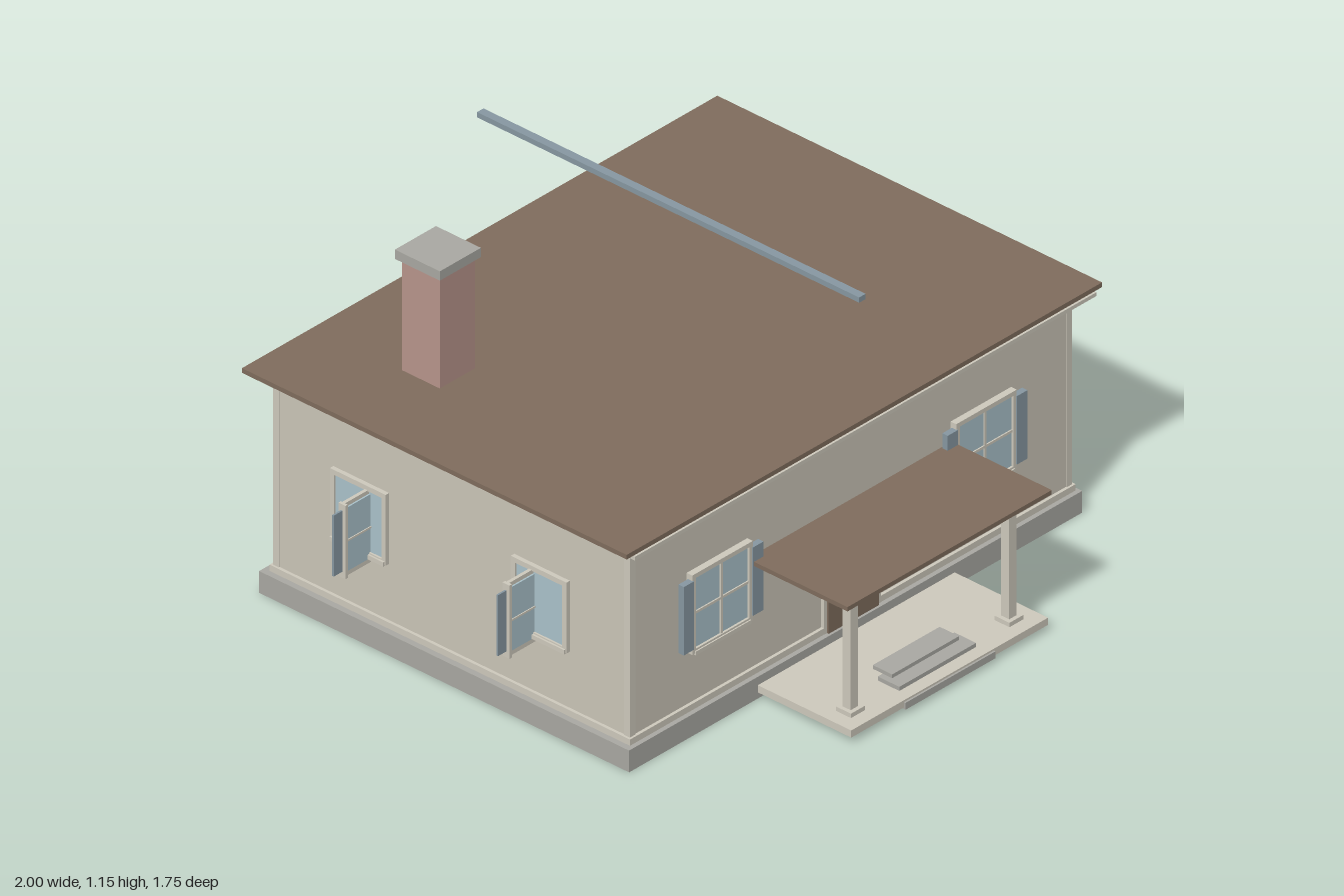
import * as THREE from 'three';

const mat = (name, color) => Object.assign(new THREE.MeshStandardMaterial({ color }), { name });

export function createModel() {
  const wall = mat('wall cream', 0xcbc6b8);
  const trim = mat('trim cream', 0xcfcabd);
  const brown = mat('roof brown', 0x806d5d);
  const stone = mat('stone grey', 0xaaa9a3);
  const brick = mat('chimney red', 0xb8958c);
  const blue = mat('shutter blue grey', 0x8798a2);
  const glass = mat('window glass', 0xabc3cb);

  const house = new THREE.Group();
  house.name = 'house';

  // box given by its limits on each axis
  function box(parent, name, material, x0, x1, y0, y1, z0, z1) {
    const m = new THREE.Mesh(new THREE.BoxGeometry(x1 - x0, y1 - y0, z1 - z0), material);
    m.position.set((x0 + x1) / 2, (y0 + y1) / 2, (z0 + z1) / 2);
    m.name = name;
    parent.add(m);
    return m;
  }
  function group(name, x, y, z, turn = 0) {
    const g = new THREE.Group();
    g.name = name;
    g.position.set(x, y, z);
    g.rotation.y = turn;
    house.add(g);
    return g;
  }
  // four bars around an opening, centred on the group origin
  function frame(g, w, h, t, z0, z1) {
    for (const s of [-1, 1]) {
      const x = s * (w - t) / 2, y = s * (h - t) / 2;
      box(g, 'frameSide', trim, x - t / 2, x + t / 2, -h / 2, h / 2, z0, z1);
      box(g, 'frameRail', trim, -w / 2 + t, w / 2 - t, y - t / 2, y + t / 2, z0, z1);
    }
  }

  // Body
  box(house, 'foundation', stone, -0.88, 0.95, 0, 0.07, -0.85, 0.525);
  box(house, 'walls', wall, -0.85, 0.93, 0.07, 0.705, -0.82, 0.5);
  box(house, 'baseTrim', trim, -0.86, 0.94, 0.07, 0.09, -0.83, 0.51);
  for (const x of [-0.842, 0.922]) for (const z of [-0.812, 0.492])
    box(house, 'cornerBoard', trim, x - 0.011, x + 0.011, 0.09, 0.7, z - 0.011, z + 0.011);

  // Roof, eaves and the raised ridge rail
  box(house, 'roof', brown, -0.92, 1.0, 0.715, 0.73, -0.877, 0.553);
  box(house, 'frieze', blue, -0.86, 0.94, 0.695, 0.715, -0.83, 0.508);
  box(house, 'frontEave', trim, -0.895, 0.97, 0.703, 0.715, 0.508, 0.56);
  box(house, 'ridgeRail', blue, 0.022, 0.048, 1.11, 1.127, -0.87, 0.55);

  // Chimney
  box(house, 'chimney', brick, -0.675, -0.533, 0.767, 1.125, -0.508, -0.367);
  box(house, 'chimneyCap', stone, -0.688, -0.522, 1.125, 1.155, -0.522, -0.355);

  // Shuttered windows; the side ones stand out from the left-hand wall like open casements
  function shutteredWindow(name, x, y, z, w, h) {
    const g = group(name, x, y, z);
    box(g, 'sash', trim, -w / 2 + 0.004, w / 2 - 0.004, -h / 2 + 0.004, h / 2 - 0.004, -0.006, 0.004);
    frame(g, w, h, 0.014, -0.008, 0.016);
    box(g, 'pane', glass, -w / 2 + 0.014, w / 2 - 0.014, -h / 2 + 0.014, h / 2 - 0.014, 0.004, 0.009);
    box(g, 'mullion', trim, -0.004, 0.004, -h / 2 + 0.014, h / 2 - 0.014, 0.009, 0.013);
    box(g, 'crossbar', trim, -w / 2 + 0.014, w / 2 - 0.014, -0.004, 0.004, 0.009, 0.013);
    box(g, 'sill', trim, -w / 2 + 0.01, w / 2 - 0.01, -h / 2 - 0.004, -h / 2 + 0.008, 0, 0.02);
    for (const s of [-1, 1]) {
      const c = s * (w / 2 + 0.018);
      box(g, 'shutter', blue, c - 0.021, c + 0.021, -h * 0.43, h * 0.43, 0, 0.02);
    }
  }
  shutteredWindow('frontWindowRight', -0.498, 0.385, 0.505, 0.244, 0.256);
  shutteredWindow('frontWindowLeft', 0.568, 0.385, 0.505, 0.244, 0.256);
  for (const z of [-0.465, 0.145]) {
    const g = group('casement', -0.85, 0.368, z);
    box(g, 'sash', trim, -0.115, 0, -0.118, 0.118, -0.007, 0.004);
    box(g, 'pane', glass, -0.105, 0, -0.1, 0.105, 0.004, 0.009);
    box(g, 'crossbar', trim, -0.105, 0, -0.003, 0.003, 0.009, 0.012);
    box(g, 'sashEdge', trim, -0.115, -0.105, -0.118, 0.118, -0.012, 0.014);
    box(g, 'shutter', blue, -0.15, -0.115, -0.098, 0.098, -0.003, 0.003);
  }

  // Plain windows on the sides and back
  function plainWindow(name, x, z, turn) {
    const g = group(name, x, 0.385, z, turn);
    frame(g, 0.207, 0.228, 0.016, 0, 0.014);
    box(g, 'pane', glass, -0.0875, 0.0875, -0.098, 0.098, 0, 0.008);
    box(g, 'sill', trim, -0.1, 0.1, -0.116, -0.102, 0, 0.02);
  }
  for (const z of [-0.498, 0.174]) {
    plainWindow('leftWindow', 0.93, z, Math.PI / 2);
    plainWindow('rightWindow', -0.85, z, -Math.PI / 2);
  }
  for (const x of [-0.46, 0.54]) plainWindow('backWindow', x, -0.82, Math.PI);

  // Door
  box(house, 'doorFrame', trim, -0.077, 0.152, 0.065, 0.392, 0.495, 0.511);
  box(house, 'door', brown, -0.065, 0.139, 0.066, 0.381, 0.5, 0.517);
  box(house, 'doorPane', glass, 0.002, 0.073, 0.235, 0.335, 0.517, 0.52);
  const knob = new THREE.Mesh(new THREE.SphereGeometry(0.007, 12, 8), stone);
  knob.name = 'doorKnob';
  knob.position.set(0.102, 0.207, 0.522);
  house.add(knob);

  // Porch: slab, steps, posts and flat canopy
  box(house, 'porchSlab', trim, -0.36, 0.435, 0.02, 0.043, 0.5, 0.872);
  box(house, 'frontStep', stone, -0.147, 0.217, 0.015, 0.037, 0.8, 0.878);
  box(house, 'lowerStep', stone, -0.12, 0.19, 0.043, 0.056, 0.75, 0.83);
  box(house, 'upperStep', stone, -0.1, 0.17, 0.056, 0.068, 0.713, 0.785);
  for (const x of [-0.285, 0.355]) {
    box(house, 'postBase', trim, x - 0.028, x + 0.028, 0.043, 0.057, 0.772, 0.828);
    box(house, 'porchPost', trim, x - 0.015, x + 0.015, 0.057, 0.412, 0.785, 0.815);
  }
  box(house, 'porchRoof', brown, -0.375, 0.45, 0.433, 0.447, 0.5, 0.872);

  return house;
}
